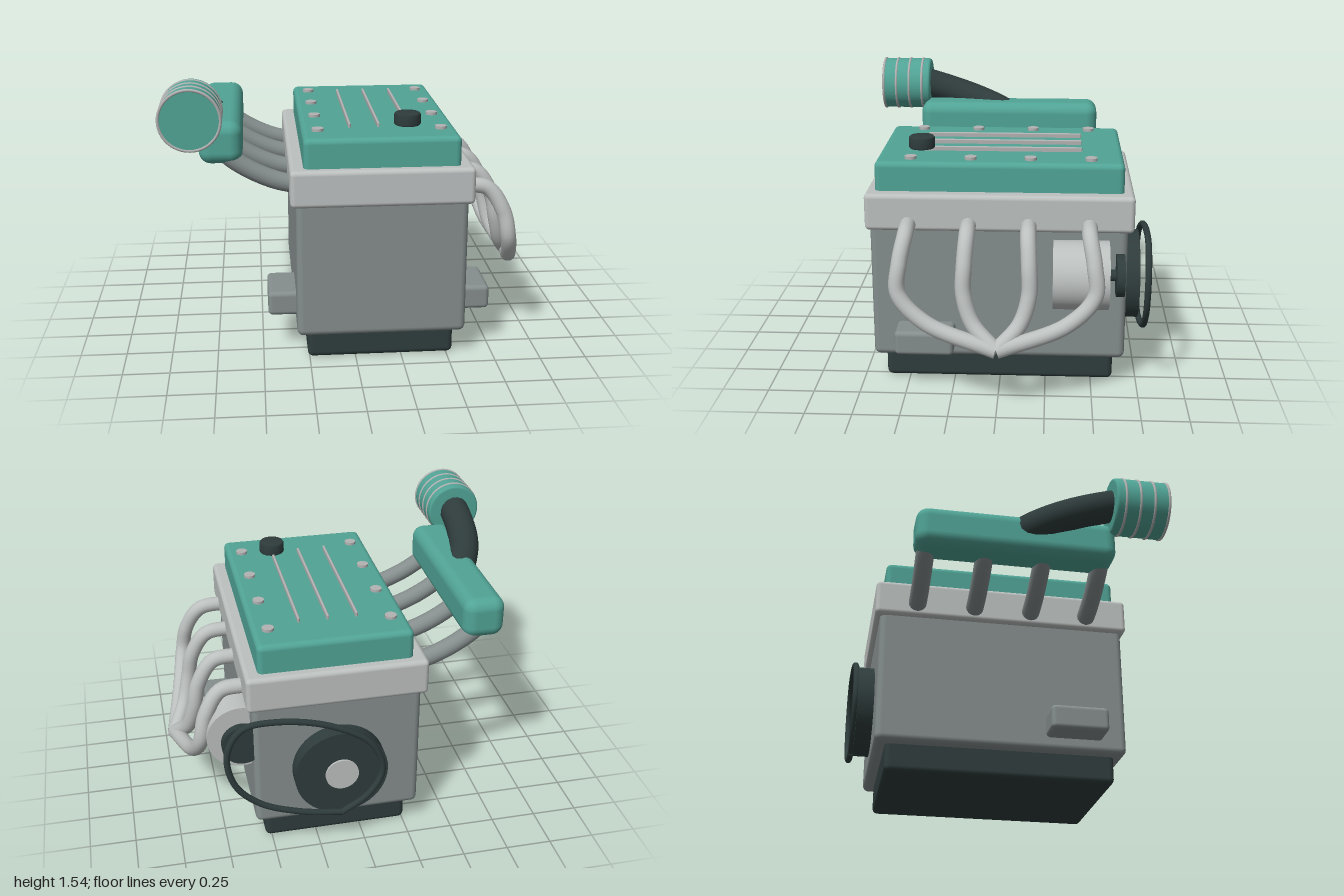
import * as THREE from 'three';
import { RoundedBoxGeometry } from 'three/addons/geometries/RoundedBoxGeometry.js';

const material = (name, color) => {
  const m = new THREE.MeshStandardMaterial({ color });
  m.name = name;
  return m;
};
const V = (x, y, z) => new THREE.Vector3(x, y, z);

export function createModel() {
  const model = new THREE.Group();
  model.name = 'engine';
  const teal = material('teal paint', 0x51a496);
  const iron = material('grey iron', 0x858d8d);
  const alloy = material('light alloy', 0xbcc0bf);
  const steel = material('steel trim', 0xb2b2b2);
  const rubber = material('dark rubber', 0x2f3c3c);

  const add = (name, geometry, mat, parent = model) => {
    const mesh = new THREE.Mesh(geometry, mat);
    mesh.name = name;
    parent.add(mesh);
    return mesh;
  };
  const group = (name) => {
    const g = new THREE.Group();
    g.name = name;
    model.add(g);
    return g;
  };
  // Rounded box given by its limits on each axis
  const box = (name, [x0, x1], [y0, y1], [z0, z1], r, mat, parent) => {
    const mesh = add(name, new RoundedBoxGeometry(x1 - x0, y1 - y0, z1 - z0, 4, r), mat, parent);
    mesh.position.set((x0 + x1) / 2, (y0 + y1) / 2, (z0 + z1) / 2);
    return mesh;
  };
  // Cylinder along z between two depths
  const disc = (name, x, y, z0, z1, r, mat, parent) => {
    const geometry = new THREE.CylinderGeometry(r, r, z1 - z0, 48).rotateX(Math.PI / 2);
    const mesh = add(name, geometry, mat, parent);
    mesh.position.set(x, y, (z0 + z1) / 2);
    return mesh;
  };
  // Round pipe along a curve, closed by flat caps at both ends
  const pipe = (name, curve, r, mat, parent = model, segments = 48) => {
    const g = new THREE.Group();
    g.name = name;
    parent.add(g);
    add(name + 'Wall', new THREE.TubeGeometry(curve, segments, r, 16), mat, g);
    [0, 1].forEach((t) => {
      const cap = add(name + 'End', new THREE.CircleGeometry(r, 16), mat, g);
      const p = curve.getPointAt(t);
      const dir = curve.getTangentAt(t).multiplyScalar(t ? 1 : -1);
      cap.position.copy(p);
      cap.quaternion.setFromUnitVectors(V(0, 0, 1), dir);
    });
    return g;
  };

  // Main castings, stacked from the sump to the cover
  box('oilPan', [-0.26, 0.535], [0, 0.2], [-0.62, 0.63], 0.03, rubber);
  box('engineBlock', [-0.318, 0.592], [0.15, 0.92], [-0.68, 0.69], 0.035, iron);
  box('cylinderHead', [-0.347, 0.62], [0.88, 1.08], [-0.71, 0.712], 0.025, alloy);
  box('valveCover', [-0.275, 0.55], [1.05, 1.237], [-0.655, 0.662], 0.03, teal);
  box('rightMount', [-0.47, -0.28], [0.22, 0.355], [0.24, 0.555], 0.025, iron);
  box('leftMount', [0.55, 0.747], [0.22, 0.355], [0.24, 0.555], 0.025, iron);

  // Cover bolts, ribs and filler cap
  const portZ = [0.477, 0.158, -0.16, -0.48];
  const coverTrim = group('coverTrim');
  for (const x of [-0.19, 0.465]) {
    for (const z of portZ) {
      add('coverBolt', new THREE.CylinderGeometry(0.032, 0.032, 0.02, 20), steel, coverTrim)
        .position.set(x, 1.242, z);
    }
  }
  for (const x of [-0.017, 0.138, 0.294]) {
    box('coverRib', [x - 0.007, x + 0.007], [1.225, 1.262], [-0.435, 0.43], 0.006, steel, coverTrim);
  }
  const capProfile = [[0, 0], [0.066, 0], [0.071, 0.006], [0.071, 0.056], [0.064, 0.065], [0, 0.065]];
  add('fillerCap', new THREE.LatheGeometry(capProfile.map(([r, y]) => new THREE.Vector2(r, y)), 32), rubber)
    .position.set(0.292, 1.252, 0.435);

  // Intake runners rising to the plenum
  const intake = group('intakeRunners');
  for (const z of portZ) {
    const path = new THREE.CatmullRomCurve3([
      V(-0.3, 0.945, z), V(-0.42, 0.975, z), V(-0.56, 1.04, z), V(-0.67, 1.12, z), V(-0.7, 1.17, z)]);
    pipe('intakeRunner', path, 0.05, iron, intake, 24);
  }
  box('intakePlenum', [-0.815, -0.585], [1.075, 1.302], [-0.545, 0.543], 0.065, teal);
  const hose = new THREE.QuadraticBezierCurve3(V(-0.7, 1.21, 0), V(-0.86, 1.28, 0.17), V(-0.843, 1.385, 0.53));
  pipe('intakeHose', hose, 0.087, rubber);

  // Air filter with bands
  const filter = group('airFilter');
  filter.position.set(-0.84, 1.38, 0);
  const filterProfile = [[0, 0.5], [0.14, 0.5], [0.15, 0.504], [0.155, 0.515], [0.155, 0.79]];
  add('filterBody', new THREE.LatheGeometry(
    filterProfile.map(([r, y]) => new THREE.Vector2(r, y)), 48).rotateX(Math.PI / 2), teal, filter);
  disc('filterFace', 0, 0, 0.78, 0.793, 0.155, teal, filter);
  for (const z of [0.552, 0.632, 0.711, 0.79]) {
    add('filterBand', new THREE.TorusGeometry(0.153, 0.008, 8, 48), steel, filter).position.z = z;
  }

  // Exhaust pipes sweeping down into one outlet
  const exhaust = group('exhaustHeaders');
  for (const z of portZ.map((p) => p + 0.005)) {
    const path = new THREE.CatmullRomCurve3([
      V(0.58, 0.92, z), V(0.73, 0.9, z), V(0.818, 0.77, z * 1.05),
      V(0.85, 0.62, z * 1.06), V(0.888, 0.475, z * 0.76), V(0.962, 0.36, 0)]);
    pipe('exhaustPipe', path, 0.042, alloy, exhaust);
  }

  // Alternator, pulleys and drive belt at the rear
  disc('alternator', 0.642, 0.66, -0.58, -0.285, 0.183, alloy);
  disc('alternatorShaft', 0.642, 0.66, -0.63, -0.57, 0.03, rubber);
  disc('alternatorPulley', 0.642, 0.66, -0.662, -0.618, 0.113, rubber);
  disc('crankPulley', 0.135, 0.48, -0.77, -0.67, 0.253, rubber);
  disc('crankHub', 0.135, 0.48, -0.782, -0.76, 0.09, alloy);
  const beltPoints = [
    [0.135, 0.23], [0.36, 0.27], [0.58, 0.36], [0.71, 0.5], [0.742, 0.7], [0.66, 0.84], [0.48, 0.863],
    [0.2, 0.8], [-0.02, 0.66], [-0.086, 0.48], [-0.01, 0.33], [0.135, 0.23]];
  const belt = new THREE.CatmullRomCurve3(beltPoints.map(([x, y]) => V(x, y, -0.78)));
  pipe('driveBelt', belt, 0.017, rubber, model, 96);

  return model;
}
